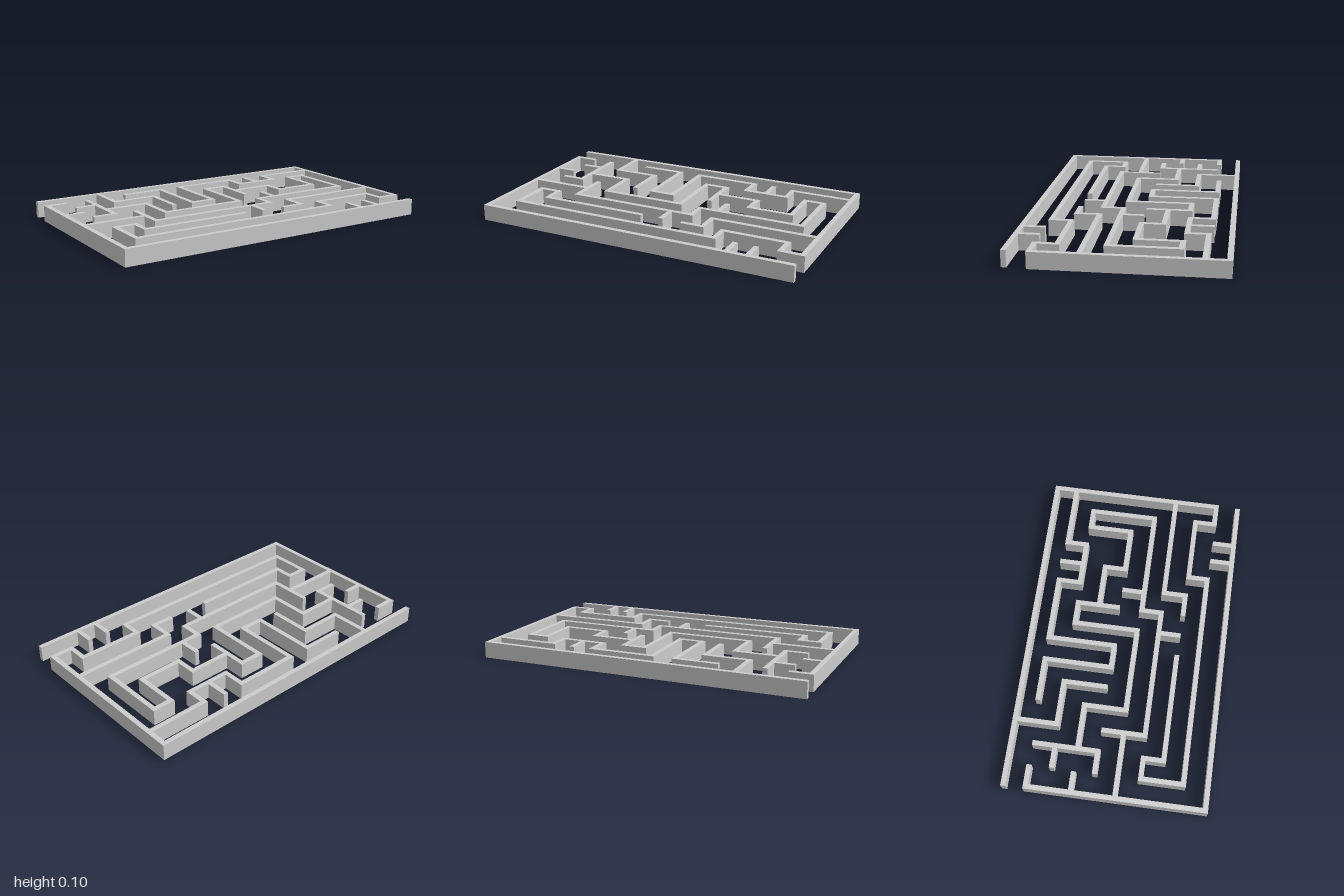
import * as THREE from 'three';

const HEIGHT = 0.097;
const HALF = 0.015; // half the wall thickness

// Extrudes a constant-width mitred ribbon along right-angled [x, z] points.
function wallGeometry(points) {
  const pts = points.map(([x, z]) => new THREE.Vector2(x, -z));
  const normals = pts.slice(1).map((p, i) => {
    const d = p.clone().sub(pts[i]).normalize();
    return new THREE.Vector2(-d.y, d.x);
  });
  const left = [], right = [];
  pts.forEach((p, i) => {
    const offset = new THREE.Vector2();
    if (i > 0) offset.add(normals[i - 1]);
    if (i < normals.length) offset.add(normals[i]);
    left.push(p.clone().addScaledVector(offset, HALF));
    right.unshift(p.clone().addScaledVector(offset, -HALF));
  });
  const shape = new THREE.Shape([...left, ...right]);
  const geometry = new THREE.ExtrudeGeometry(shape, { depth: HEIGHT, bevelEnabled: false });
  return geometry.rotateX(-Math.PI / 2);
}

export function createModel() {
  const maze = new THREE.Group();
  maze.name = 'maze';
  const material = new THREE.MeshStandardMaterial({ color: 0xcccccc });
  const wall = (name, ...points) => {
    const mesh = new THREE.Mesh(wallGeometry(points), material);
    mesh.name = name;
    maze.add(mesh);
  };

  // Outer walls, open at the back left and front right corners
  wall('frontLeftOuterWall', [-0.855, -0.465], [-0.985, -0.465], [-0.985, 0.59], [0.99, 0.59]);
  wall('backRightOuterWall', [-1, -0.595], [0.985, -0.595], [0.985, 0.452], [0.857, 0.452],
    [0.857, 0.329], [0.464, 0.329], [0.464, 0.447], [-0.851, 0.447], [-0.851, 0.195],
    [-0.728, 0.195], [-0.728, 0.316], [-0.063, 0.316]);

  // Long winding walls
  wall('backWindingWall', [-0.46, -0.481], [-0.196, -0.481], [-0.196, -0.073], [-0.054, -0.073],
    [-0.054, -0.481], [0.336, -0.481], [0.336, -0.347], [0.603, -0.347], [0.603, -0.468], [0.985, -0.468]);
  wall('centreWindingWall', [-0.985, 0.06], [-0.592, 0.06], [-0.592, 0.187], [0.2, 0.187], [0.2, 0.063],
    [0.847, 0.063], [0.847, -0.337], [0.732, -0.337], [0.732, -0.077], [0.464, -0.077],
    [0.464, -0.205], [0.2, -0.205]);
  wall('middleWindingWall', [0.2, -0.075], [0.2, -0.337], [0.063, -0.337], [0.063, 0.053],
    [-0.453, 0.053], [-0.453, -0.198], [-0.723, -0.198]);

  // Shorter bent walls
  wall('backHookWall', [-0.592, -0.595], [-0.592, -0.343], [-0.323, -0.343], [-0.323, -0.077]);
  wall('leftHookWall', [-0.723, -0.468], [-0.723, -0.077], [-0.86, -0.077]);
  wall('rightHookWall', [0.985, 0.187], [0.336, 0.187], [0.336, 0.323], [0.197, 0.323]);

  // Straight stubs
  const stubs = [
    [[-0.985, -0.2], [-0.86, -0.2]],
    [[-0.857, -0.332], [-0.723, -0.332]],
    [[-0.592, -0.075], [-0.592, 0.06]],
    [[0.322, -0.075], [0.322, 0.063]],
    [[0.467, -0.495], [0.467, -0.347]],
    [[0.065, 0.187], [0.065, 0.324]],
    [[0.595, 0.452], [0.595, 0.59]],
    [[0.72, 0.455], [0.72, 0.59]],
  ];
  stubs.forEach(([a, b], i) => wall(`stubWall${i + 1}`, a, b));

  return maze;
}
